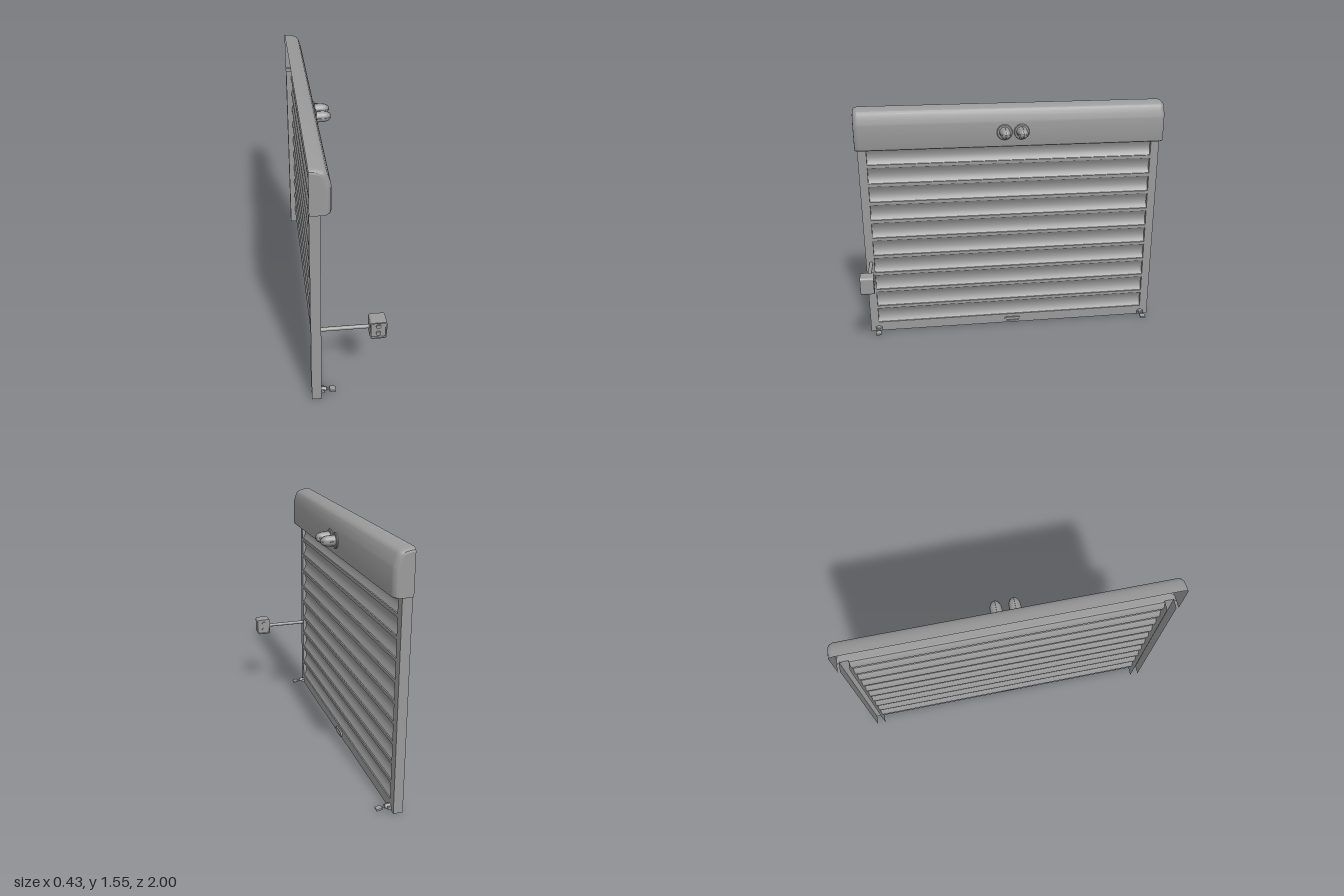
import * as THREE from 'three';
import { toCreasedNormals } from 'three/addons/utils/BufferGeometryUtils.js';

const material = new THREE.MeshStandardMaterial({ color: 0x9a9a9a, side: THREE.DoubleSide });

function add(parent, name, geometry, x = 0, y = 0, z = 0) {
  const mesh = new THREE.Mesh(geometry, material);
  mesh.name = name;
  mesh.position.set(x, y, z);
  parent.add(mesh);
  return mesh;
}

// Skin through open cross-sections, each a list of [x, y, z] points
function loft(sections, crease = 0.6) {
  const n = sections[0].length, index = [];
  for (let s = 0; s < sections.length - 1; s++) {
    for (let i = 0; i < n - 1; i++) {
      const a = s * n + i, b = a + n;
      index.push(a, b, a + 1, b, b + 1, a + 1);
    }
  }
  const g = new THREE.BufferGeometry();
  g.setAttribute('position', new THREE.Float32BufferAttribute(sections.flat(2), 3));
  g.setIndex(index);
  return toCreasedNormals(g, crease);
}

function roundedRect(w, h, r, Type = THREE.Shape) {
  const s = new Type(), x = w / 2 - r, y = h / 2 - r;
  s.absarc(x, y, r, 0, Math.PI / 2);
  s.absarc(-x, y, r, Math.PI / 2, Math.PI);
  s.absarc(-x, -y, r, Math.PI, Math.PI * 1.5);
  s.absarc(x, -y, r, Math.PI * 1.5, Math.PI * 2);
  s.closePath();
  return s;
}

const extrude = (shape, depth) =>
  new THREE.ExtrudeGeometry(shape, { depth, bevelEnabled: false, curveSegments: 8 });

const FRONT = -0.157, BACK = -0.215;

function makeCurtain() {
  // Flat sheet with ten shallow scooped slats bulging to the back
  const profile = [[FRONT, 0]];
  for (let k = 0; k < 10; k++) {
    const y0 = 0.065 + k * 0.1248;
    profile.push([FRONT, y0], [FRONT - 0.007, y0 + 0.001]);
    for (let i = 1; i < 10; i++) {
      const t = i / 10;
      profile.push([FRONT - 0.007 - 0.017 * Math.sin(Math.PI * t), y0 + 0.105 * t]);
    }
    profile.push([FRONT - 0.007, y0 + 0.104], [FRONT, y0 + 0.105]);
  }
  return loft([-0.93, 0.93].map(z => profile.map(([x, y]) => [x, y, z])));
}

function makeHood(group) {
  const profile = [[BACK, 1.555], [-0.18, 1.552], [-0.15, 1.545], [-0.132, 1.537], [-0.122, 1.525],
    [-0.111, 1.495], [-0.102, 1.463], [-0.1, 1.45], [-0.1, 1.308], [-0.103, 1.298], [-0.112, 1.293],
    [FRONT, 1.293]];
  const section = (z, inset) => profile.map(([x, y]) => [
    BACK + (x - BACK) * (1 - inset / 0.115),
    1.295 + (y - 1.295) * (1 - 0.7 * inset / 0.26), z]);
  // Shell rounds inward toward both ends
  const ends = [[0.998, 0.032], [0.995, 0.018], [0.985, 0.007], [0.968, 0]];
  const stations = [...ends.map(([z, i]) => [-z, i]), ...ends.reverse()];
  add(group, 'hoodShell', loft(stations.map(([z, i]) => section(z, i)), 0.5));
  const cap = section(0.998, 0.032).map(([x, y]) => new THREE.Vector2(x, y));
  cap.push(new THREE.Vector2(BACK, 1.295));
  for (const s of [-1, 1]) {
    add(group, 'hoodEndCap', new THREE.ShapeGeometry(new THREE.Shape(cap)), 0, 0, s * 0.998);
  }
}

function makeLight() {
  const light = new THREE.Group();
  light.name = 'warningLight';
  const base = [[0, 0], [0.05, 0], [0.05, 0.006], [0.046, 0.01], [0.035, 0.01], [0.034, 0.05]];
  const dome = [];
  for (let i = 1; i <= 8; i++) {
    const a = i / 8 * Math.PI / 2;
    dome.push([0.034 * Math.cos(a), 0.05 + 0.05 * Math.sin(a)]);
  }
  const pts = [...base, ...dome].map(([r, h]) => new THREE.Vector2(Math.max(r, 0), h));
  add(light, 'lamp', toCreasedNormals(new THREE.LatheGeometry(pts, 24), 0.5));
  // Slim guard ribs running up the lens
  const rib = new THREE.CatmullRomCurve3(
    [...base.slice(4), ...dome].map(([r, h]) => new THREE.Vector3(r, h, 0)));
  for (let i = 0; i < 4; i++) {
    add(light, 'lampRib', new THREE.TubeGeometry(rib, 14, 0.0015, 5)).rotation.y = i * Math.PI / 2;
  }
  light.rotation.z = -Math.PI / 2;
  return light;
}

function makeControl() {
  const control = new THREE.Group();
  control.name = 'controlUnit';
  const rod = add(control, 'controlArm', new THREE.CylinderGeometry(0.012, 0.012, 0.28, 16), -0.022, 0.51, 0.952);
  rod.rotation.z = Math.PI / 2;
  // Box with a shallow recessed button panel on both faces
  const x = 0.1625, y = 0.512;
  const rim = roundedRect(0.095, 0.114, 0.014);
  rim.holes.push(roundedRect(0.081, 0.1, 0.01, THREE.Path));
  add(control, 'controlBox', extrude(roundedRect(0.095, 0.114, 0.014), 0.064), x, y, 0.926);
  for (const [rimZ, buttonZ] of [[0.916, 0.923], [0.99, 0.993]]) {
    add(control, 'controlRim', extrude(rim, 0.01), x, y, rimZ);
    for (const dy of [-0.024, 0.024]) {
      add(control, 'button', new THREE.CylinderGeometry(0.014, 0.014, 0.01, 16), x, y + dy, buttonZ)
        .rotation.x = Math.PI / 2;
    }
  }
  return control;
}

function makeLatch() {
  const latch = new THREE.Group();
  latch.name = 'floorLatch';
  add(latch, 'latchPlate', new THREE.BoxGeometry(0.02, 0.02, 0.044), 0.01, 0.02, 0);
  add(latch, 'latchBarrel', new THREE.CylinderGeometry(0.013, 0.015, 0.034, 14), 0.017, 0.024, 0)
    .rotation.z = -Math.PI / 2;
  add(latch, 'latchStem', new THREE.CylinderGeometry(0.005, 0.005, 0.03, 10), 0.042, 0.022, 0)
    .rotation.z = -Math.PI / 2 - 0.15;
  add(latch, 'latchLever', new THREE.BoxGeometry(0.036, 0.011, 0.036), 0.07, 0.018, 0)
    .rotation.z = -0.15;
  return latch;
}

export function createModel() {
  const model = new THREE.Group();
  model.name = 'rollerShutter';

  add(model, 'slatCurtain', makeCurtain());

  const hood = new THREE.Group();
  hood.name = 'hood';
  makeHood(hood);
  model.add(hood);

  // Side rails are thin channels open to the back
  for (const s of [-1, 1]) {
    const channel = [[BACK, 0.93], [FRONT, 0.93], [FRONT, 0.985], [BACK, 0.985]];
    add(model, 'guideRail', loft([0, 1.297].map(y => channel.map(([x, z]) => [x, y, s * z]))));

    const light = makeLight();
    light.position.set(-0.1, 1.39, s * 0.055);
    model.add(light);

    const latch = makeLatch();
    latch.position.set(FRONT, 0, s * 0.932);
    model.add(latch);
  }

  model.add(makeControl());

  // Pull handle: an oval ring low on the curtain
  const ring = roundedRect(0.114, 0.034, 0.0169);
  ring.holes.push(roundedRect(0.09, 0.016, 0.0079, THREE.Path));
  add(model, 'pullHandle', extrude(ring, 0.012), FRONT - 0.002, 0.026, 0).rotation.y = Math.PI / 2;

  return model;
}
